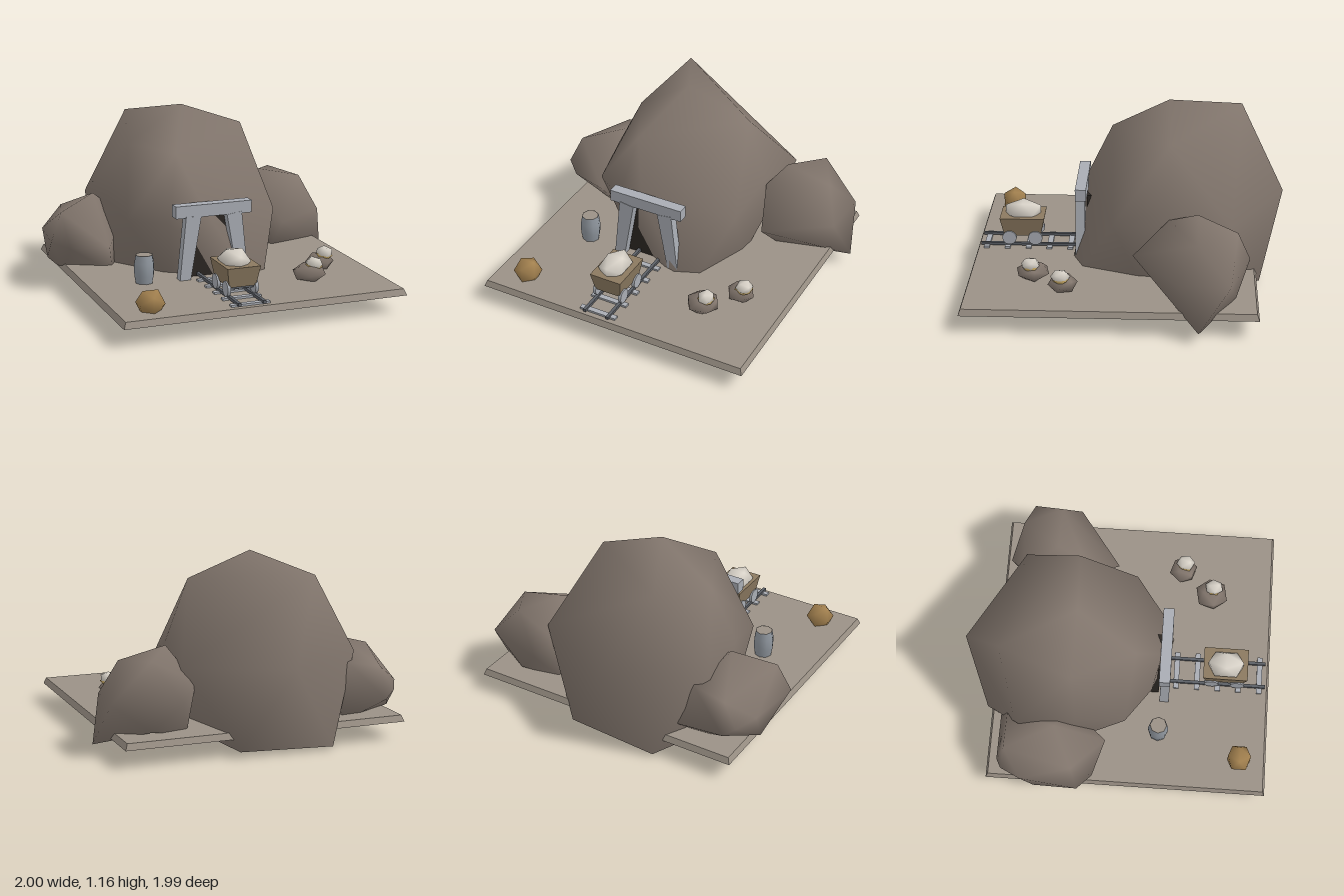
import * as THREE from 'three';
import { mergeVertices } from 'three/addons/utils/BufferGeometryUtils.js';
import { ConvexGeometry } from 'three/addons/geometries/ConvexGeometry.js';

const mat = (color, extra = {}) => new THREE.MeshStandardMaterial({ color, ...extra });
const M = {
  rock: mat(0x81756c), ground: mat(0x9b9186), steel: mat(0xa9adb4), rail: mat(0x5b5f66),
  wood: mat(0x8c7a60), ore: mat(0xa3814f), pale: mat(0xd8d2c8), dark: mat(0x2b2622), gold: mat(0xc2a563),
};

// Shares corners so that the facets shade smoothly.
function smooth(geo) {
  geo.deleteAttribute('normal');
  geo.deleteAttribute('uv');
  const merged = mergeVertices(geo, 1e-3);
  merged.computeVertexNormals();
  return merged;
}

// Large boulder: the hull around its corners, left open underneath (faces with all corners below the foot line).
function boulder(corners, foot = 0.2) {
  const hull = new ConvexGeometry(corners.map(c => new THREE.Vector3(...c)));
  const p = hull.attributes.position;
  const kept = [];
  for (let i = 0; i < p.count; i += 3) {
    if (Math.max(p.getY(i), p.getY(i + 1), p.getY(i + 2)) > foot) kept.push(...p.array.slice(i * 3, i * 3 + 9));
  }
  return smooth(new THREE.BufferGeometry().setAttribute('position', new THREE.Float32BufferAttribute(kept, 3)));
}

// Small twelve-cornered stone.
const stone = (sx, sy, sz, turn = 0) =>
  smooth(new THREE.IcosahedronGeometry(1, 0)).rotateY(turn).scale(sx, sy, sz);

// Box whose bottom is scaled by (bx, bz) relative to its top.
function taperedBox(w, h, d, bx, bz) {
  const geo = new THREE.BoxGeometry(w, h, d).toNonIndexed();
  const p = geo.attributes.position;
  for (let i = 0; i < p.count; i++) {
    if (p.getY(i) < 0) p.setXYZ(i, p.getX(i) * bx, p.getY(i), p.getZ(i) * bz);
  }
  geo.computeVertexNormals();
  return geo;
}

export function createModel() {
  const root = new THREE.Group();
  const add = (name, geo, material, x = 0, y = 0, z = 0, parent = root) => {
    const m = new THREE.Mesh(geo, material);
    m.name = name;
    m.position.set(x, y, z);
    parent.add(m);
    return m;
  };
  const group = name => {
    const g = new THREE.Group();
    g.name = name;
    root.add(g);
    return g;
  };

  // Ground slab with slightly sloping sides
  add('ground', taperedBox(1.79, 0.04, 1.79, 1.017, 1.017), M.ground, 0, 0.135, 0.083);

  // Hill: crown, waist, then foot
  add('hill', boulder([
    [-0.1, 1.16, -0.26], [0.32, 1.01, -0.28], [-0.46, 0.92, -0.28], [-0.33, 1.06, -0.73], [-0.27, 0.92, 0.11],
    [-0.1, 0.55, -1.0], [0.5, 0.54, -0.66], [-0.65, 0.55, -0.63], [-0.62, 0.58, -0.25], [-0.58, 0.5, 0.06],
    [-0.36, 0.5, 0.22], [-0.16, 0.62, 0.27], [0.41, 0.5, 0.08], [0.46, 0.62, -0.25],
    [0.2, 0.0, 0.37], [-0.3, 0.06, 0.12], [-0.65, 0.06, -0.4], [-0.4, 0.02, -0.87], [0.2, 0.04, -0.85],
    [0.39, 0.09, -0.1],
  ]), M.rock);

  // Boulders on either side of the hill
  add('rightBoulder', boulder([
    [-0.67, 0.59, -0.38], [-0.92, 0.51, -0.26], [-0.58, 0.49, -0.69], [-0.8, 0.45, -0.7],
    [-1.0, 0.33, -0.22], [-0.96, 0.33, -0.59], [-0.89, 0.3, -0.72], [-0.9, 0.3, -0.13], [-0.66, 0.3, -0.06],
    [-0.5, 0.22, -0.755], [-0.82, 0.25, -0.755], [-0.5, 0.45, -0.3], [-0.95, 0.15, -0.51], [-0.88, 0.09, -0.35],
    [-0.6, 0.09, -0.2], [-0.6, 0.09, -0.6],
  ]), M.rock);
  add('leftBoulder', boulder([
    [0.53, 0.64, -0.45], [0.83, 0.57, -0.45], [0.7, 0.6, -0.69], [0.46, 0.57, -0.27], [0.42, 0.45, -0.68],
    [0.535, 0.36, -0.05], [0.92, 0.35, -0.33], [0.94, 0.35, -0.65], [0.53, 0.35, -0.775], [0.38, 0.35, -0.45],
    [1.0, 0.07, -0.46], [0.7, 0.17, -0.69], [0.55, 0.14, -0.27], [0.45, 0.12, -0.6],
  ]), M.rock);

  // Mine entrance: dark opening, splayed posts and lintel
  const entrance = group('entrance');
  add('opening', taperedBox(0.24, 0.38, 0.06, 1.25, 1), M.dark, -0.115, 0.345, 0.235, entrance);
  add('lintel', new THREE.BoxGeometry(0.505, 0.078, 0.07), M.steel, -0.1, 0.593, 0.297, entrance);
  for (const s of [-1, 1]) {
    const post = add('post', taperedBox(0.1, 0.42, 0.06, 0.7, 1), M.steel, -0.1 + s * 0.165, 0.352, 0.304, entrance);
    post.rotation.z = s * 0.14;
  }

  // Track
  const track = group('track');
  for (let i = 0; i < 5; i++) {
    add('sleeper', new THREE.BoxGeometry(0.25, 0.016, 0.035), M.steel, -0.105, 0.16, 0.377 + i * 0.1375, track);
  }
  for (const s of [-1, 1]) {
    add('rail', new THREE.BoxGeometry(0.02, 0.018, 0.72), M.rail, -0.105 + s * 0.08, 0.172, 0.605, track);
  }

  // Ore cart
  const cart = group('cart');
  cart.position.set(-0.105, 0, 0.693);
  add('tub', taperedBox(0.215, 0.125, 0.29, 0.8, 0.82), M.wood, 0, 0.295, 0, cart);
  const wheel = new THREE.CylinderGeometry(0.047, 0.047, 0.02, 14).rotateZ(Math.PI / 2);
  const axle = new THREE.CylinderGeometry(0.01, 0.01, 0.16, 8).rotateZ(Math.PI / 2);
  for (const z of [-0.085, 0.085]) {
    add('axle', axle, M.rail, 0, 0.22, z, cart);
    for (const s of [-1, 1]) add('wheel', wheel, M.steel, s * 0.09, 0.22, z, cart);
  }
  add('load', stone(0.098, 0.078, 0.135), M.pale, -0.008, 0.37, 0, cart);

  // Barrel with lid
  const staves = [[0.055, 0], [0.064, 0.05], [0.066, 0.09], [0.064, 0.13], [0.055, 0.18]];
  add('barrel', new THREE.LatheGeometry(staves.map(a => new THREE.Vector2(...a)), 8),
    mat(0x90979f, { side: THREE.DoubleSide }), -0.545, 0.155, 0.277);
  add('barrelLid', new THREE.CylinderGeometry(0.054, 0.054, 0.008, 8), M.ground, -0.545, 0.33, 0.277);

  // Loose stones, two of them carrying nuggets
  add('looseStone', stone(0.092, 0.09, 0.087), M.ore, -0.69, 0.2, 0.815);
  for (const [x, z, r] of [[0.44, 0.58, 0.112], [0.605, 0.38, 0.095]]) {
    add('oreBase', stone(r, 0.06, r, x * 4), M.rock, x, 0.2, z);
    add('nuggetSeat', stone(0.058, 0.035, 0.058), M.gold, x + 0.025, 0.24, z + 0.01);
    add('nugget', stone(0.055, 0.046, 0.063, z * 3), M.pale, x + 0.028, 0.257, z + 0.012);
  }
  return root;
}
